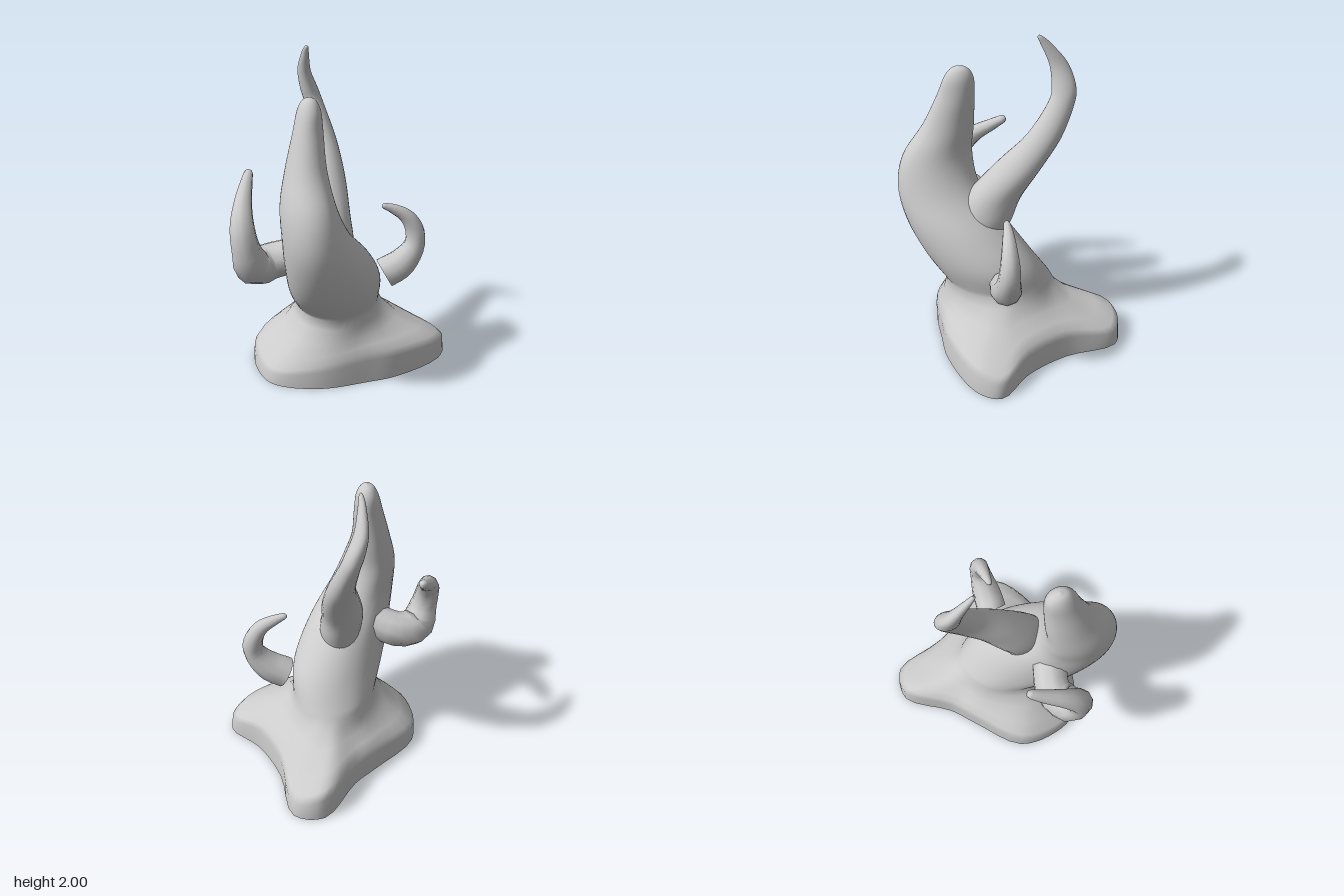
import * as THREE from 'three';

const material = new THREE.MeshStandardMaterial({ color: 0xcccccc });
const V = (x, y, z) => new THREE.Vector3(x, y, z);

// Skin a stack of closed rings and cap both ends with flat fans
function loft(name, rings) {
  const n = rings[0].length;
  const pos = [], index = [];
  rings.forEach((ring) => ring.forEach((p) => pos.push(p.x, p.y, p.z)));
  for (let i = 0; i < rings.length - 1; i++) {
    for (let j = 0; j < n; j++) {
      const k = (j + 1) % n;
      const a = i * n + j, b = i * n + k, c = a + n, d = b + n;
      index.push(a, c, b, b, c, d);
    }
  }
  const cap = (ring, top) => {
    const start = pos.length / 3;
    const centre = V(0, 0, 0);
    ring.forEach((p) => centre.addScaledVector(p, 1 / n));
    [...ring, centre].forEach((p) => pos.push(p.x, p.y, p.z));
    for (let j = 0; j < n; j++) {
      const a = start + j, b = start + ((j + 1) % n);
      if (top) index.push(a, start + n, b);
      else index.push(a, b, start + n);
    }
  };
  cap(rings[0], false);
  cap(rings[rings.length - 1], true);
  const geo = new THREE.BufferGeometry();
  geo.setAttribute('position', new THREE.Float32BufferAttribute(pos, 3));
  geo.setIndex(index);
  geo.computeVertexNormals();
  const mesh = new THREE.Mesh(geo, material);
  mesh.name = name;
  return mesh;
}

// Level ellipse, slanted by a lean angle; s = [y, centre x, centre z, half x, half z]
const LEAN = -0.25;
const ellipsePoint = (s, t) =>
  V(s[1] + s[3] * Math.cos(t), s[0], s[2] + s[4] * Math.sin(t + LEAN));

// Smoothly interpolated ellipse rings through the given sections
function hornRings(sections, angles, steps) {
  const centre = new THREE.CatmullRomCurve3(sections.map((s) => V(s[1], s[0], s[2])), false, 'catmullrom');
  const size = new THREE.CatmullRomCurve3(sections.map((s) => V(s[3], s[4], 0)), false, 'catmullrom');
  const rings = [];
  for (let i = 0; i <= steps; i++) {
    const c = centre.getPoint(i / steps), r = size.getPoint(i / steps);
    rings.push(angles.map((t) => ellipsePoint([c.y, c.x, c.z, r.x, r.y], t)));
  }
  return rings;
}

// Tapering tube; path points are [x, y, z, radius]
function claw(name, path, sides = 10, steps = 18) {
  const curve = new THREE.CatmullRomCurve3(path.map((p) => V(p[0], p[1], p[2])));
  const radius = new THREE.CatmullRomCurve3(path.map((p, i) => V(i, p[3], 0)), false, 'catmullrom');
  const rings = [];
  // Frames are spaced by arc length, so the radius is looked up by the same parameter
  const frames = curve.computeFrenetFrames(steps);
  const addRing = (i, r, push) => {
    const u = i / steps;
    const c = curve.getPointAt(u).addScaledVector(frames.tangents[i], push);
    rings.push(Array.from({ length: sides }, (_, j) => {
      const t = (j / sides) * Math.PI * 2;
      return c.clone()
        .addScaledVector(frames.normals[i], r * Math.cos(t))
        .addScaledVector(frames.binormals[i], -r * Math.sin(t));
    }));
  };
  for (let i = 0; i <= steps; i++) {
    addRing(i, radius.getPoint(curve.getUtoTmapping(i / steps)).y, 0);
  }
  // Rounded tip
  const tip = path[path.length - 1][3];
  addRing(steps, tip * 0.7, tip * 0.6);
  addRing(steps, tip * 0.1, tip * 0.9);
  return loft(name, rings);
}

export function createModel() {
  const group = new THREE.Group();

  // Foot outline: x, rim height, z
  const outline = new THREE.CatmullRomCurve3([
    [0.56, 0.2, -0.1], [0.54, 0.2, 0.2], [0.6, 0.14, 0.46], [0.46, 0.17, 0.55],
    [0.1, 0.2, 0.51], [-0.08, 0.2, 0.43], [-0.35, 0.15, 0.28], [-0.52, 0.1, 0.05],
    [-0.5, 0.1, -0.12], [-0.35, 0.15, -0.34], [0, 0.2, -0.41], [0.2, 0.2, -0.44],
    [0.52, 0.2, -0.56], [0.67, 0.14, -0.43],
  ].map((p) => V(...p)), true, 'centripetal');
  const foot = Array.from({ length: 56 }, (_, j) => outline.getPoint(j / 56));
  const angles = foot.map((p) => Math.atan2(p.z, p.x - 0.05));

  // Main horn sections, from the neck above the foot up to the blunt tip
  const mainHorn = [
    [0.42, 0.03, 0.04, 0.31, 0.3],
    [0.6, -0.075, 0.13, 0.355, 0.29],
    [0.8, -0.205, 0.2, 0.315, 0.27],
    [1.0, -0.33, 0.235, 0.23, 0.235],
    [1.2, -0.37, 0.21, 0.17, 0.21],
    [1.4, -0.33, 0.15, 0.13, 0.15],
    [1.6, -0.285, 0.12, 0.1, 0.105],
    [1.72, -0.265, 0.108, 0.076, 0.085],
    [1.78, -0.26, 0.105, 0.045, 0.05],
    [1.8, -0.26, 0.105, 0.006, 0.006],
  ];
  const neck = angles.map((t) => ellipsePoint(mainHorn[0], t));

  // Foot rings: spread 1 is the outline, 0 the neck
  const footRing = (spread, height) => foot.map((p, j) => {
    const q = neck[j].clone().lerp(p, spread);
    q.y = height(p.y);
    return q;
  });
  const footRings = [
    footRing(1, () => 0),
    footRing(0.98, (h) => h * 0.75),
    footRing(0.9, (h) => h),
    footRing(0.65, (h) => h * 0.7 + 0.1),
    footRing(0.3, (h) => h * 0.3 + 0.23),
    footRing(0.08, () => 0.36),
  ];
  group.add(loft('footAndMainHorn', [...footRings, ...hornRings(mainHorn, angles, 45)]));

  // Slender back horn rising out of the trunk
  const round = Array.from({ length: 24 }, (_, j) => (j / 24) * Math.PI * 2);
  group.add(loft('backHorn', hornRings([
    [0.7, -0.08, 0.12, 0.14, 0.15],
    [0.85, -0.05, 0.08, 0.15, 0.155],
    [1.0, -0.025, 0.025, 0.148, 0.152],
    [1.2, 0.065, -0.085, 0.132, 0.12],
    [1.4, 0.15, -0.213, 0.093, 0.097],
    [1.6, 0.175, -0.322, 0.067, 0.074],
    [1.7, 0.157, -0.35, 0.064, 0.065],
    [1.82, 0.112, -0.345, 0.042, 0.055],
    [1.94, 0.066, -0.285, 0.023, 0.032],
    [1.985, 0.05, -0.255, 0.014, 0.018],
    [2.0, 0.047, -0.248, 0.003, 0.003],
  ], round, 40)));

  // Small side claws
  group.add(claw('leftClaw', [
    [0.3, 0.55, 0.2, 0.1], [0.39, 0.61, 0.26, 0.095], [0.465, 0.73, 0.305, 0.07],
    [0.47, 0.83, 0.3, 0.062], [0.425, 0.93, 0.27, 0.047], [0.35, 0.99, 0.22, 0.032],
    [0.3, 1.015, 0.19, 0.02],
  ]));
  group.add(claw('rightClaw', [
    [-0.28, 0.82, 0.04, 0.11], [-0.41, 0.77, -0.09, 0.115], [-0.53, 0.77, -0.1, 0.12],
    [-0.595, 0.9, -0.09, 0.088], [-0.595, 1.03, -0.12, 0.075], [-0.53, 1.14, -0.19, 0.056],
    [-0.45, 1.21, -0.26, 0.042], [-0.38, 1.27, -0.315, 0.028],
  ]));
  return group;
}
